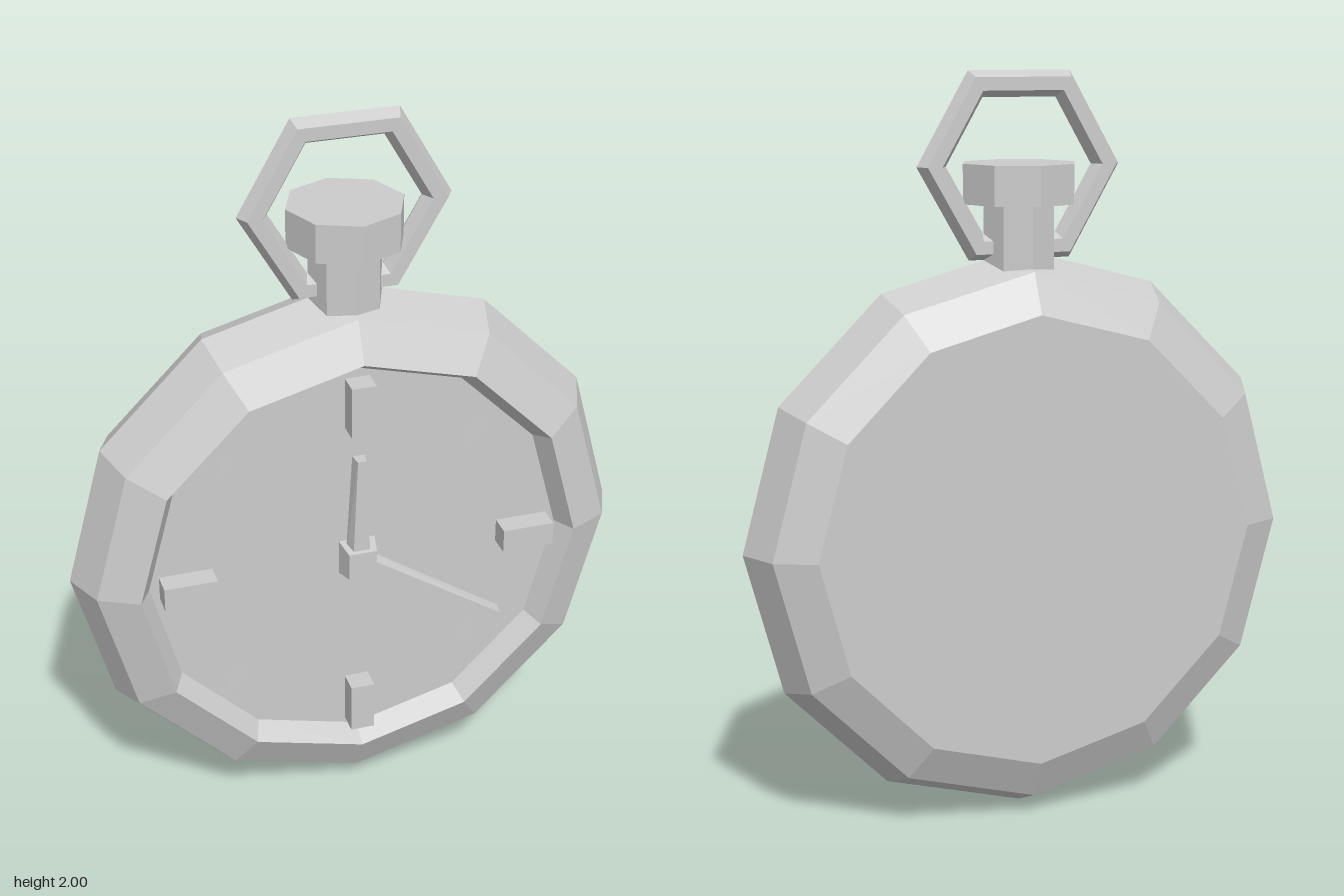
import * as THREE from 'three';

const CENTER_Y = 0.767;
const DIAL_Z = 0.105;
const material = new THREE.MeshStandardMaterial({ color: 0xcccccc, flatShading: true });

function add(parent, name, geometry, x = 0, y = 0, z = 0) {
  const mesh = new THREE.Mesh(geometry, material);
  mesh.name = name;
  mesh.position.set(x, y, z);
  parent.add(mesh);
  return mesh;
}

// Bar from y = 0 to y = length, narrowing toward its tip and toward its front face
function taperedBar(baseWidth, tipWidth, length, depth, frontScale) {
  const geometry = new THREE.BoxGeometry(1, length, depth).translate(0, length / 2, depth / 2);
  const p = geometry.attributes.position;
  for (let i = 0; i < p.count; i++) {
    const width = THREE.MathUtils.lerp(baseWidth, tipWidth, p.getY(i) / length);
    p.setX(i, p.getX(i) * width * (p.getZ(i) > depth / 2 ? frontScale : 1));
  }
  geometry.computeVertexNormals();
  return geometry;
}

export function createModel() {
  const watch = new THREE.Group();
  watch.name = 'pocketWatch';

  // Twelve-sided case with bevelled rim, flat back and recessed dial
  const profile = [
    [0, -0.165], [0.61, -0.165], [0.717, -0.113], [0.767, 0],
    [0.717, 0.113], [0.61, 0.165], [0.575, DIAL_Z], [0, DIAL_Z],
  ].map(([r, h]) => new THREE.Vector2(r, h));
  add(watch, 'case', new THREE.LatheGeometry(profile, 12).rotateX(Math.PI / 2), 0, CENTER_Y, 0);

  // Everything on the dial is placed around the watch centre
  const face = new THREE.Group();
  face.name = 'dialFace';
  face.position.set(0, CENTER_Y, DIAL_Z);
  watch.add(face);

  // Large markers at the quarters, small ones between them
  for (let i = 0; i < 8; i++) {
    const large = i % 2 === 0;
    const angle = (i * Math.PI) / 4;
    const size = large ? [0.067, 0.145, 0.083] : [0.042, 0.075, 0.05];
    const marker = add(face, large ? 'largeMarker' : 'smallMarker', new THREE.BoxGeometry(...size),
      0.475 * Math.sin(angle), 0.475 * Math.cos(angle), 0.021);
    marker.rotation.z = -angle;
  }

  // Hands
  add(face, 'hourHand', taperedBar(0.07, 0.034, 0.318, 0.035, 0.7), 0, 0, 0.012);
  const minuteHand = add(face, 'minuteHand', taperedBar(0.052, 0.03, 0.482, 0.03, 0.6), 0, 0, 0.008);
  minuteHand.rotation.z = -Math.PI / 2 - Math.atan2(0.26, 0.405);

  // Square centre pin, slightly narrower at the front
  const pin = new THREE.CylinderGeometry(0.055, 0.072, 0.06, 4).rotateY(Math.PI / 4).rotateX(Math.PI / 2);
  add(face, 'centrePin', pin, 0, 0, 0.028);

  // Stem and winding crown
  add(watch, 'stem', new THREE.CylinderGeometry(0.1, 0.1, 0.2, 8), 0, 1.57, 0);
  add(watch, 'crown', new THREE.CylinderGeometry(0.157, 0.157, 0.105, 8), 0, 1.708, 0);

  // Six-sided bow ring
  add(watch, 'bowRing', new THREE.TorusGeometry(0.244, 0.04, 6, 6), 0, 1.754, 0);

  return watch;
}
